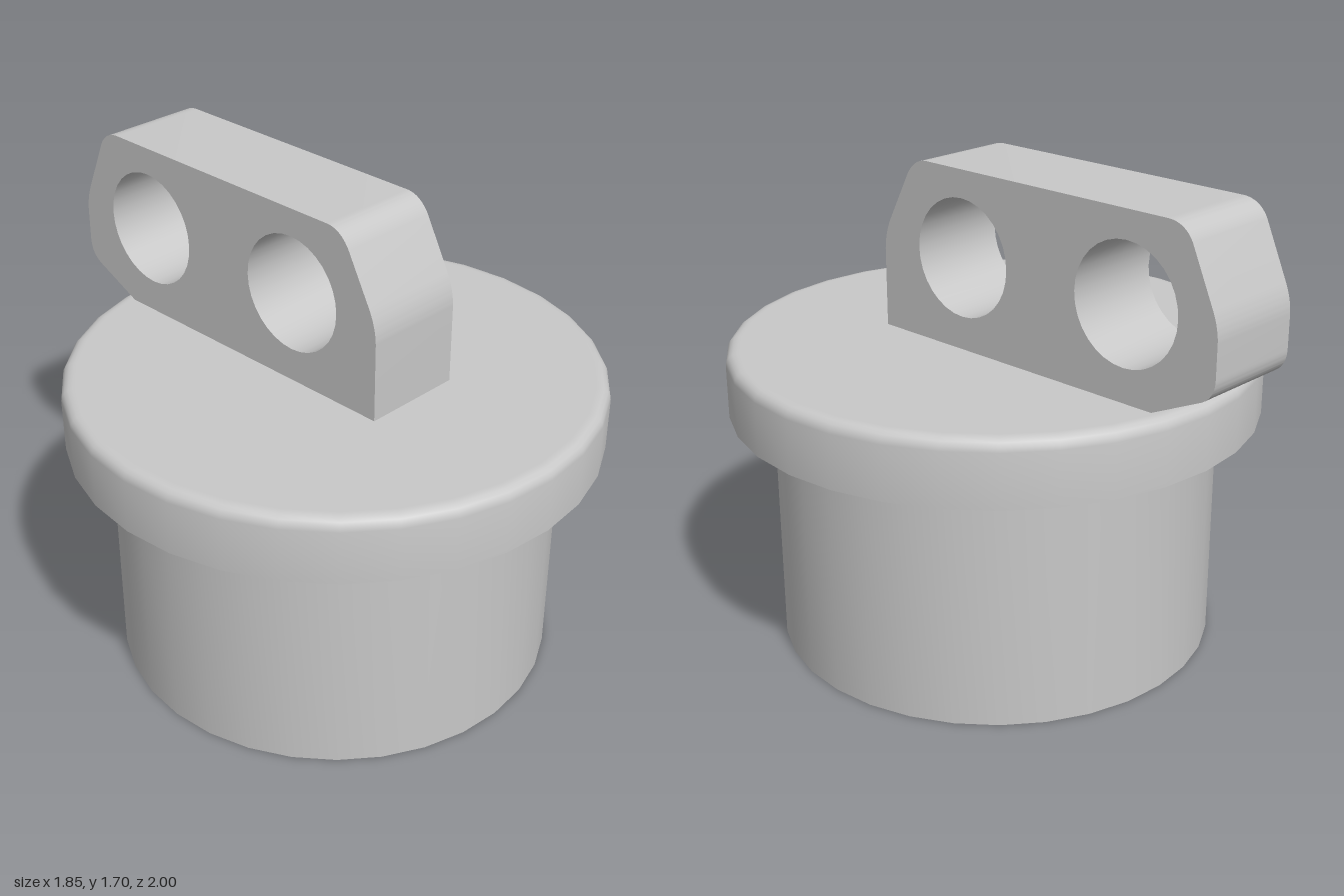
import * as THREE from 'three';
import { toCreasedNormals } from 'three/addons/utils/BufferGeometryUtils.js';

const AXIS_Z = 0.075; // the round plug sits slightly forward of the lug
const LUG_WIDTH = 0.366;

export function createModel() {
  const model = new THREE.Group();
  model.name = 'plugWithLug';
  const grey = new THREE.MeshStandardMaterial({ color: 0xc8c8c8 });
  grey.name = 'grey';

  const add = (name, geometry) => {
    const mesh = new THREE.Mesh(toCreasedNormals(geometry, 0.6), grey);
    mesh.name = name;
    model.add(mesh);
    return mesh;
  };

  // Turned body: stepped bore, barrel, flange with a rounded top edge
  const profile = [
    [0, 0.385], [0.26, 0.385], [0.26, 0.36],
    [0.43, 0.36], [0.43, 0.33], [0.597, 0.33],
    [0.597, 0], [0.775, 0], [0.775, 0.852], [0.926, 0.852],
  ].map(([r, y]) => new THREE.Vector2(r, y));
  const fillet = 0.04;
  for (let i = 0; i <= 4; i++) {
    const a = (i / 4) * Math.PI / 2;
    profile.push(new THREE.Vector2(
      0.926 - fillet + fillet * Math.cos(a), 1.08 - fillet + fillet * Math.sin(a)));
  }
  // The extra ring keeps the top face shading flat
  profile.push(new THREE.Vector2(0.875, 1.08), new THREE.Vector2(0, 1.08));
  add('flangedPlug', new THREE.LatheGeometry(profile, 32)).position.z = AXIS_Z;

  // Lug plate outline, drawn as (z, y), counter-clockwise
  const lug = new THREE.Shape();
  lug.moveTo(-0.765, 1.08);
  lug.lineTo(0.425, 1.08);
  lug.lineTo(0.425, 1.35);
  lug.quadraticCurveTo(0.425, 1.41, 0.395, 1.47);
  lug.lineTo(0.305, 1.64);
  lug.quadraticCurveTo(0.27, 1.70, 0.21, 1.70);
  lug.lineTo(-0.80, 1.70);
  lug.quadraticCurveTo(-0.865, 1.70, -0.895, 1.645);
  lug.lineTo(-0.975, 1.465);
  lug.quadraticCurveTo(-1, 1.41, -1, 1.36);
  lug.lineTo(-1, 1.25);
  lug.quadraticCurveTo(-1, 1.19, -0.95, 1.165);
  lug.closePath();

  // Two round eyes through the lug, wound against the outline
  for (const z of [0.05, -0.65]) {
    const eye = new THREE.Path();
    eye.absarc(z, 1.4, 0.204, 0, Math.PI * 2, true);
    lug.holes.push(eye);
  }
  const plate = new THREE.ExtrudeGeometry(lug, {
    depth: LUG_WIDTH, bevelEnabled: false, curveSegments: 16,
  });
  plate.rotateY(-Math.PI / 2).translate(LUG_WIDTH / 2, 0, 0);
  add('lug', plate);

  return model;
}
